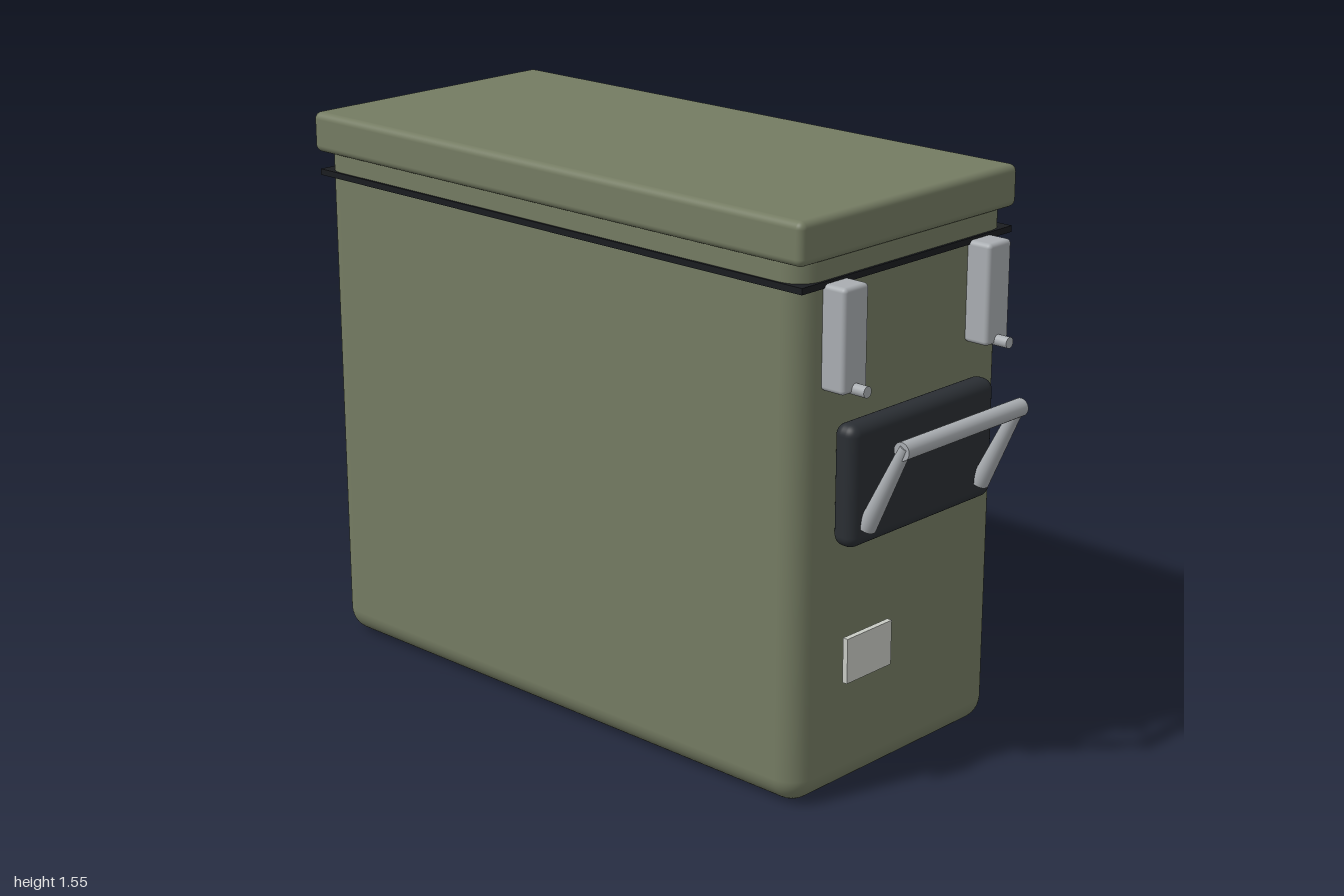
import * as THREE from 'three';
import { RoundedBoxGeometry } from 'three/addons/geometries/RoundedBoxGeometry.js';

const paint = (color) => new THREE.MeshStandardMaterial({ color });

export function createModel() {
  const root = new THREE.Group();
  const olive = paint(0x747b62), rubber = paint(0x1a1c20), plastic = paint(0x2a2e33);
  const metal = paint(0xa9adb1), plate = paint(0xc8cbc4);

  const add = (name, geometry, material, parent = root) => {
    const mesh = new THREE.Mesh(geometry, material);
    mesh.name = name;
    parent.add(mesh);
    return mesh;
  };
  // Box given by its min and max corners; r rounds the edges
  const box = (name, [x0, y0, z0], [x1, y1, z1], r, material, parent) => {
    const size = [x1 - x0, y1 - y0, z1 - z0];
    const geometry = r ? new RoundedBoxGeometry(...size, 5, r) : new THREE.BoxGeometry(...size);
    const mesh = add(name, geometry, material, parent);
    mesh.position.set((x0 + x1) / 2, (y0 + y1) / 2, (z0 + z1) / 2);
    return mesh;
  };
  // Round rod between two points, optionally tapered
  const rod = (name, a, b, rA, rB, material, parent) => {
    const from = new THREE.Vector3(...a), to = new THREE.Vector3(...b);
    const dir = to.clone().sub(from);
    const mesh = add(name, new THREE.CylinderGeometry(rB, rA, dir.length(), 24), material, parent);
    mesh.position.copy(from).add(to).multiplyScalar(0.5);
    mesh.quaternion.setFromUnitVectors(new THREE.Vector3(0, 1, 0), dir.normalize());
    return mesh;
  };

  // Case, lid and rubber gasket
  box('body', [-0.405, 0, -0.98], [0.405, 1.5, 0.79], 0.07, olive);
  box('lid', [-0.424, 1.437, -1], [0.424, 1.55, 0.804], 0.02, olive);
  box('seal', [-0.412, 1.37, -0.987], [0.412, 1.387, 0.797], 0, rubber);

  // Pair of latches with a small pin at the foot
  for (const side of [-1, 1]) {
    const latch = new THREE.Group();
    latch.name = side > 0 ? 'leftLatch' : 'rightLatch';
    const x = side * 0.283;
    box('latchPlate', [x - 0.046, 1.11, 0.785], [x + 0.046, 1.38, 0.862], 0.012, metal, latch);
    rod('latchPin', [x, 1.12, 0.84], [x, 1.12, 0.9], 0.015, 0.015, metal, latch);
    root.add(latch);
  }

  // Handle backing and swung-out carry handle
  box('handleBacking', [-0.285, 0.695, 0.79], [0.285, 1.018, 0.862], 0.03, plastic);
  const handle = new THREE.Group();
  handle.name = 'handle';
  rod('handleBar', [-0.24, 0.975, 0.975], [0.24, 0.975, 0.975], 0.024, 0.024, metal, handle);
  for (const side of [-1, 1]) {
    rod('handleArm', [side * 0.228, 0.747, 0.862], [side * 0.228, 0.985, 0.98],
      0.025, 0.016, metal, handle);
  }
  root.add(handle);

  // Blank data plate on the front
  box('dataPlate', [-0.27, 0.33, 0.828], [-0.096, 0.452, 0.843], 0, plate);

  return root;
}
